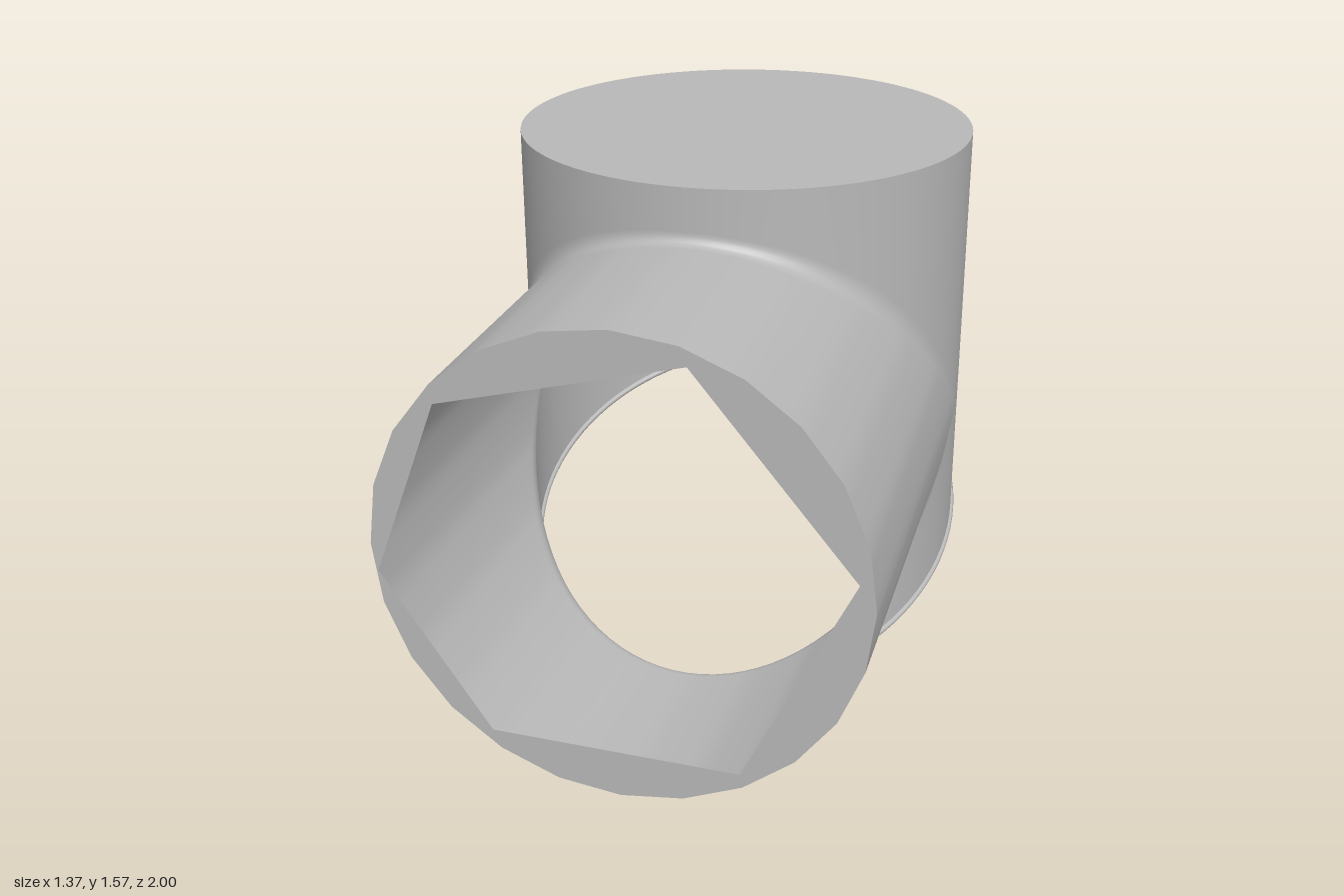
import * as THREE from 'three';
import { mergeGeometries, mergeVertices } from 'three/addons/utils/BufferGeometryUtils.js';

const R = 0.675;            // both pipes share one radius
const Z0 = -0.315;          // axis of the upright pipe
const Y0 = 0.735;           // axis of the level pipe
const TOP = 1.57, FRONT = 1;
const N = 48, FILLET = 6;

// height of the slanted bottom opening at depth dz from the upright axis
const cutY = (dz) => 0.287 - 0.407 * dz;

// radius of the 24-sided front mouth at angle a
const facet = Math.PI / 12;
function mouthRadius(a) {
  const m = ((a % facet) + facet) % facet;
  return R * Math.cos(facet / 2) / Math.cos(m - facet / 2);
}

// loft through N + 1 profiles, profile(t) -> list of [x, y, z]
function loft(profile) {
  const pos = [], idx = [];
  let n = 0;
  for (let i = 0; i <= N; i++) {
    const pts = profile(i / N);
    n = pts.length;
    pts.forEach((p) => pos.push(...p));
  }
  for (let i = 0; i < N; i++) {
    for (let j = 0; j < n - 1; j++) {
      const a = i * n + j, b = a + n;
      idx.push(a, b, a + 1, b, b + 1, a + 1);
    }
  }
  const g = new THREE.BufferGeometry();
  g.setAttribute('position', new THREE.Float32BufferAttribute(pos, 3));
  g.setIndex(idx);
  return g;
}

// slice at constant x: upright wall, small fillet, level pipe out to the mouth
function junctionSlice(t, side) {
  const a = t * Math.PI;
  const s = Math.max(0, Math.sin(a)), c = Math.cos(a);
  const x = R * c, y = Y0 + side * R * s, z = Z0 + R * s;
  const d = s * (0.035 + 0.1 * c * c);
  const pts = [[x, side > 0 ? TOP : cutY(R * s), z]];
  for (let k = 0; k <= FILLET; k++) {
    const u = k / FILLET;
    pts.push([x, y + side * d * (1 - u) ** 2, z + d * u * u]);
  }
  const m = mouthRadius(a);
  pts.push([m * c, Y0 + side * m * s, FRONT]);
  return side > 0 ? pts : pts.reverse();
}

// rear half of the upright wall
function backSlice(t) {
  const a = Math.PI * (1 + t);
  const x = R * Math.cos(a), dz = Math.min(0, R * Math.sin(a));
  return [[x, TOP, Z0 + dz], [x, Y0, Z0 + dz], [x, cutY(dz), Z0 + dz]];
}

export function createModel() {
  const group = new THREE.Group();
  group.name = 'pipeElbow';
  const grey = new THREE.MeshStandardMaterial({ color: 0xb8b8b8, side: THREE.DoubleSide });
  grey.name = 'plain grey';

  const add = (name, geometry) => {
    const mesh = new THREE.Mesh(geometry, grey);
    mesh.name = name;
    group.add(mesh);
    return mesh;
  };

  // blended shell of both pipes
  const shell = mergeVertices(mergeGeometries([
    loft((t) => junctionSlice(t, 1)),
    loft((t) => junctionSlice(t, -1)),
    loft(backSlice),
  ]), 1e-4);
  shell.computeVertexNormals();
  add('pipeShell', shell);

  // closed flat top
  const lid = add('topLid', new THREE.CircleGeometry(R, 96));
  lid.rotation.x = -Math.PI / 2;
  lid.position.set(0, TOP, Z0);

  // front plate with an uneven six-sided opening
  const outline = [];
  for (let i = 0; i < 24; i++) {
    outline.push(new THREE.Vector2(R * Math.cos(i * facet), Y0 + R * Math.sin(i * facet)));
  }
  const plate = new THREE.Shape(outline);
  plate.holes.push(new THREE.Path([
    [-0.47, 1.16], [0.195, 1.335], [0.63, 0.805], [0.33, 0.19], [-0.36, 0.205], [-0.66, 0.655],
  ].map(([x, y]) => new THREE.Vector2(x, y))));
  add('mouthPlate', new THREE.ShapeGeometry(plate)).position.z = FRONT;

  // rounded lip around the slanted bottom opening
  const rim = [];
  for (let i = 0; i < 48; i++) {
    const a = (i / 48) * Math.PI * 2;
    const dz = R * Math.sin(a);
    rim.push(new THREE.Vector3(R * Math.cos(a), cutY(dz), Z0 + dz));
  }
  const rimCurve = new THREE.CatmullRomCurve3(rim, true);
  add('bottomLip', new THREE.TubeGeometry(rimCurve, 96, 0.01, 8, true));

  return group;
}
